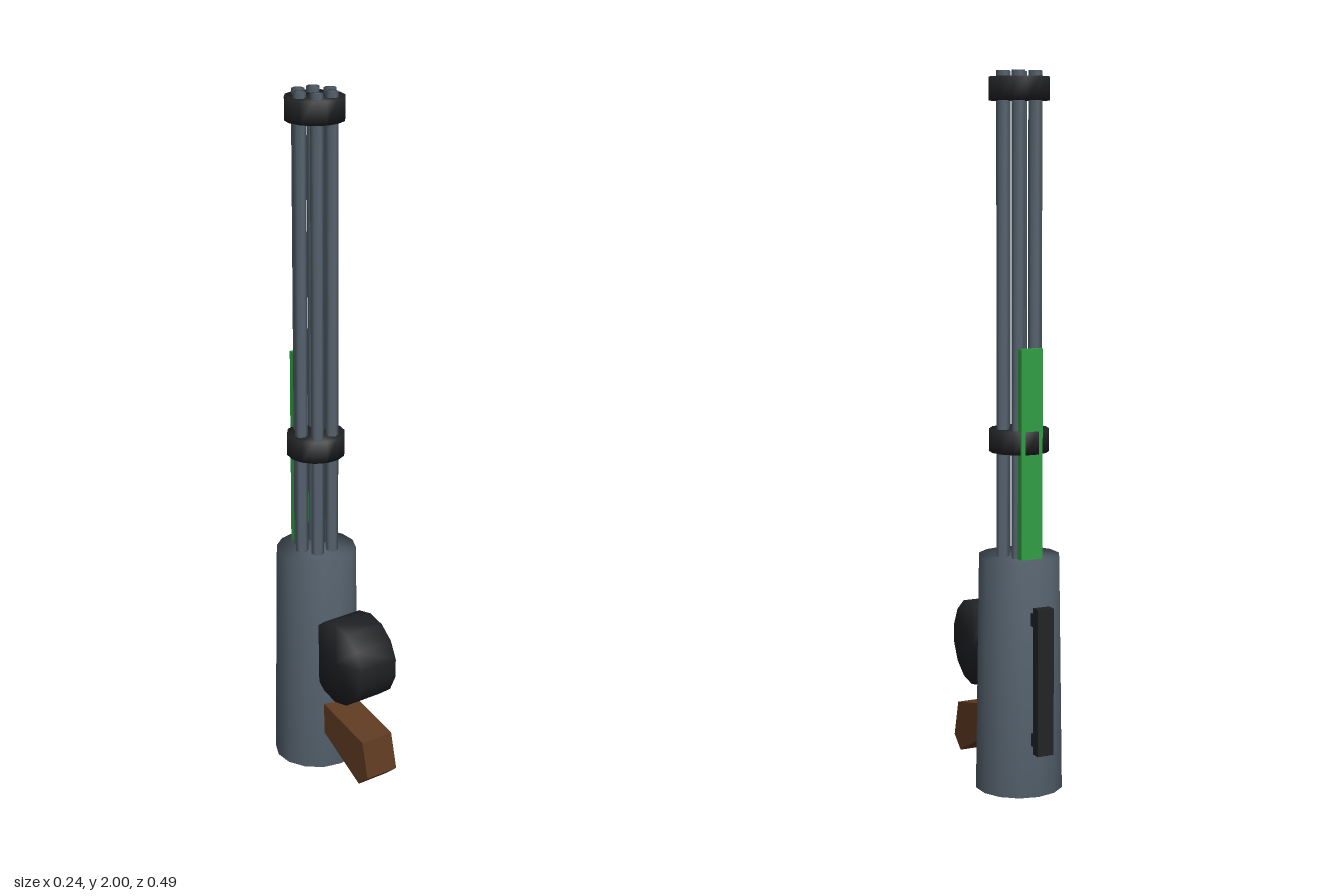
import * as THREE from 'three';
import { mergeVertices } from 'three/addons/utils/BufferGeometryUtils.js';

const AXIS_Z = -0.08; // depth of the barrel axis

const mat = (color) => new THREE.MeshStandardMaterial({ color });
const steel = mat(0x56636f);
const black = mat(0x222326);
const green = mat(0x2f9e44);
const wood = mat(0x5e3a20);

// Low-poly cylinder whose normals are shared across the rims
function softCylinder(rTop, rBottom, height, sides) {
  const g = new THREE.CylinderGeometry(rTop, rBottom, height, sides);
  g.deleteAttribute('normal');
  g.deleteAttribute('uv');
  const merged = mergeVertices(g);
  merged.computeVertexNormals();
  return merged;
}

export function createModel() {
  const model = new THREE.Group();
  model.name = 'rotaryGun';

  const add = (name, geometry, material, x, y, z) => {
    const mesh = new THREE.Mesh(geometry, material);
    mesh.name = name;
    mesh.position.set(x, y, z);
    model.add(mesh);
    return mesh;
  };

  // Tapered housing
  add('housing', softCylinder(0.115, 0.125, 0.668, 14), steel, 0, 0.334, AXIS_Z);

  // Six hexagonal barrels
  for (let i = 0; i < 6; i++) {
    const a = (i * Math.PI) / 3;
    add('barrel', softCylinder(0.018, 0.018, 1.4, 6), steel,
      0.05 * Math.cos(a), 1.3, AXIS_Z + 0.05 * Math.sin(a));
  }

  // Clamp discs around the barrels
  for (const y of [0.993, 1.952]) {
    add('barrelClamp', softCylinder(0.083, 0.083, 0.064, 14).rotateY(Math.PI / 2), black, 0, y, AXIS_Z);
  }

  // Strip behind the barrels
  add('strip', new THREE.BoxGeometry(0.065, 0.59, 0.024), green, 0, 0.957, -0.148);

  // Ammunition drum, axis across the model
  const drum = softCylinder(0.125, 0.125, 0.125, 14).rotateY(Math.PI / 2).rotateZ(Math.PI / 2);
  add('drum', drum, black, 0, 0.38, 0.1);

  // Slanted wooden grip, side profile as (z, y)
  const profile = new THREE.Shape(
    [[-0.02, 0.145], [0.202, 0.027], [0.244, 0.064], [0.218, 0.17], [-0.02, 0.224]]
      .map(([z, y]) => new THREE.Vector2(z, y)));
  const grip = new THREE.ExtrudeGeometry(profile, { depth: 0.104, bevelEnabled: false });
  add('grip', grip.rotateY(-Math.PI / 2), wood, 0.052, 0, 0);

  // Carrying handle on the back
  add('handleBar', new THREE.BoxGeometry(0.049, 0.415, 0.03), black, 0, 0.338, -0.231);
  for (const y of [0.167, 0.508]) {
    add('handlePost', new THREE.BoxGeometry(0.042, 0.036, 0.05), black, 0, y, -0.197);
  }

  return model;
}
